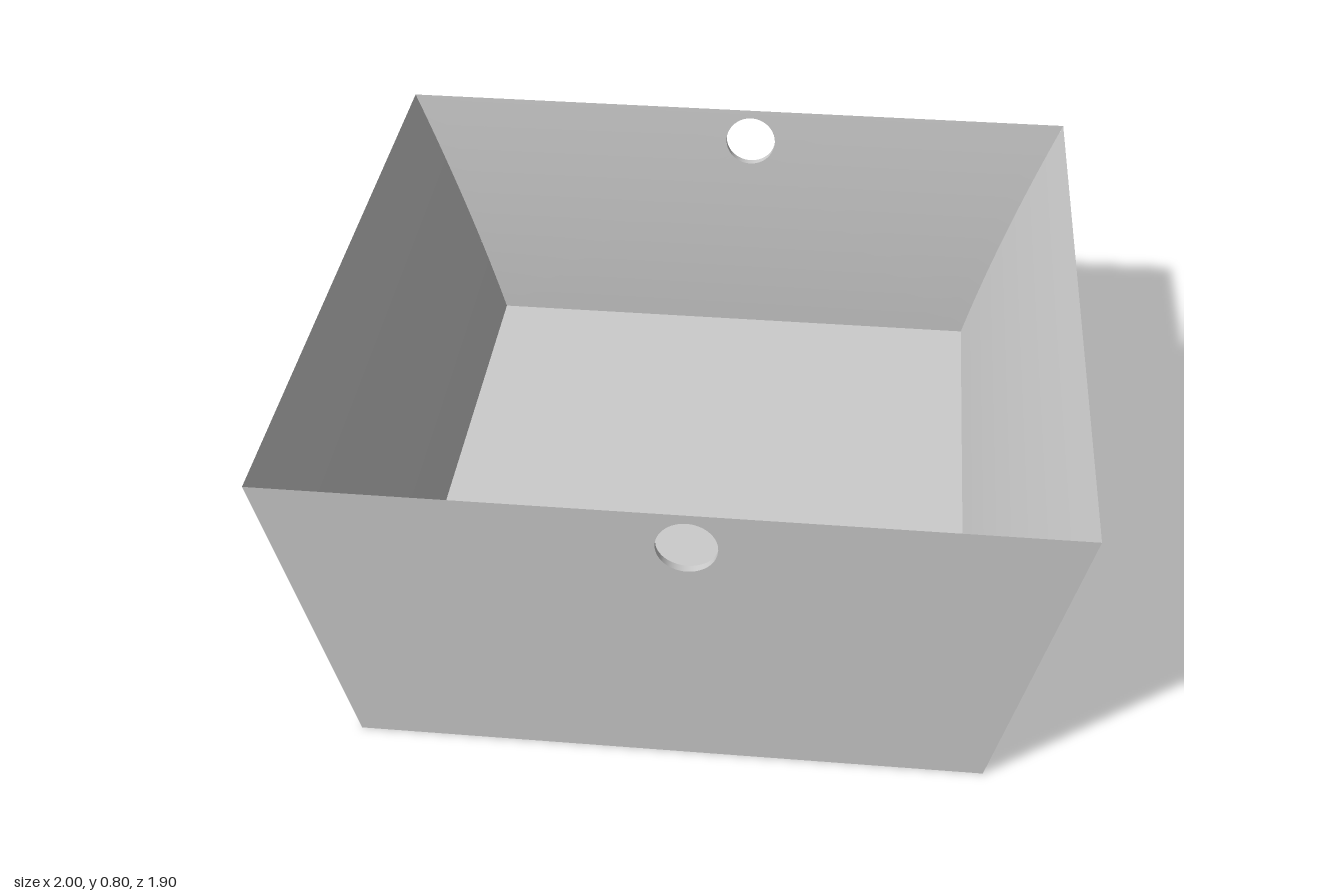
import * as THREE from 'three';

const H = 0.8, FLOOR = 0.05, DEPTH = 0.95;
const HOLE = { x: 0.05, y: 0.7, r: 0.075 };

// Wall half-widths by height: walls thin out in a curve to a sharp rim
const rise = (y) => Math.max(0, (y - FLOOR) / (H - FLOOR)) ** 2;
const outerX = (y) => 0.8 + 0.25 * y;
const innerX = (y) => outerX(y) - 0.0625 * (1 - rise(y));
const outerZ = () => DEPTH;
const innerZ = (y) => DEPTH - 0.05 * (1 - rise(y));

const material = new THREE.MeshStandardMaterial({ color: 0xcccccc });

// Smooth surface patch from a grid of points, fn(i, j) -> [x, y, z]
function patch(name, nu, nv, fn, flip) {
  const pos = [], idx = [];
  for (let j = 0; j <= nv; j++) for (let i = 0; i <= nu; i++) pos.push(...fn(i, j));
  for (let j = 0; j < nv; j++) for (let i = 0; i < nu; i++) {
    const a = j * (nu + 1) + i, b = a + 1, c = a + nu + 1, d = c + 1;
    idx.push(...(flip ? [a, c, b, b, c, d] : [a, b, c, b, d, c]));
  }
  const g = new THREE.BufferGeometry();
  g.setAttribute('position', new THREE.Float32BufferAttribute(pos, 3));
  g.setIndex(idx);
  g.computeVertexNormals();
  const mesh = new THREE.Mesh(g, material);
  mesh.name = name;
  return mesh;
}

// Rays from the hole centre to the outline of an end wall, including its corners
function outlineRays(halfX, bottom) {
  const angles = Array.from({ length: 72 }, (_, i) => (i / 72) * Math.PI * 2);
  for (const y of [bottom, H]) for (const s of [-1, 1]) {
    const a = Math.atan2(y - HOLE.y, s * halfX(y) - HOLE.x);
    angles.push(a < 0 ? a + Math.PI * 2 : a);
  }
  angles.sort((a, b) => a - b).push(Math.PI * 2);
  return angles.map((a) => {
    const c = Math.cos(a), s = Math.sin(a);
    let lo = HOLE.r, hi = 2;
    for (let k = 0; k < 40; k++) {
      const m = (lo + hi) / 2, x = HOLE.x + m * c, y = HOLE.y + m * s;
      if (y >= bottom - 1e-9 && y <= H + 1e-9 && Math.abs(x) <= halfX(y) + 1e-9) lo = m;
      else hi = m;
    }
    return { c, s, len: lo };
  });
}

// End wall face with a round hole
function endFace(name, side, halfX, halfZ, bottom, steps, flip) {
  const rays = outlineRays(halfX, bottom);
  return patch(name, rays.length - 1, steps, (i, j) => {
    const { c, s, len } = rays[i];
    const r = HOLE.r + (len - HOLE.r) * (j / steps);
    const y = HOLE.y + r * s;
    return [HOLE.x + r * c, y, side * halfZ(y)];
  }, flip);
}

// Flat rectangle at a given height
function slab(name, y, hx, hz, flip) {
  return patch(name, 1, 1, (i, j) => [(i * 2 - 1) * hx, y, (j * 2 - 1) * hz], flip);
}

// Sloping side face, in rows from bottom to rim
function sideFace(name, side, halfX, halfZ, bottom, rows, flip) {
  return patch(name, 1, rows, (i, j) => {
    const y = bottom + (H - bottom) * (j / rows);
    return [side * halfX(y), y, (i * 2 - 1) * halfZ(y)];
  }, flip);
}

export function createModel() {
  const tray = new THREE.Group();
  tray.name = 'tray';

  // Base
  tray.add(slab('underside', 0, outerX(0), DEPTH, false));
  tray.add(slab('insideFloor', FLOOR, innerX(FLOOR), innerZ(FLOOR), true));

  for (const side of [1, -1]) {
    const pos = side > 0;

    // Sloping side walls
    const wall = new THREE.Group();
    wall.name = pos ? 'leftWall' : 'rightWall';
    wall.add(sideFace('outerFace', side, outerX, outerZ, 0, 1, pos));
    wall.add(sideFace('innerFace', side, innerX, innerZ, FLOOR, 16, !pos));

    // Upright end walls with a round hole through each
    const end = new THREE.Group();
    end.name = pos ? 'frontWall' : 'backWall';
    end.add(endFace('outerFace', side, outerX, outerZ, 0, 1, pos));
    end.add(endFace('innerFace', side, innerX, innerZ, FLOOR, 16, !pos));
    const rim = outlineRays(innerX, FLOOR);
    end.add(patch('holeRim', rim.length - 1, 1, (i, j) => {
      const y = HOLE.y + HOLE.r * rim[i].s;
      return [HOLE.x + HOLE.r * rim[i].c, y, side * (j ? innerZ(y) : DEPTH)];
    }, !pos));

    tray.add(wall, end);
  }
  return tray;
}
